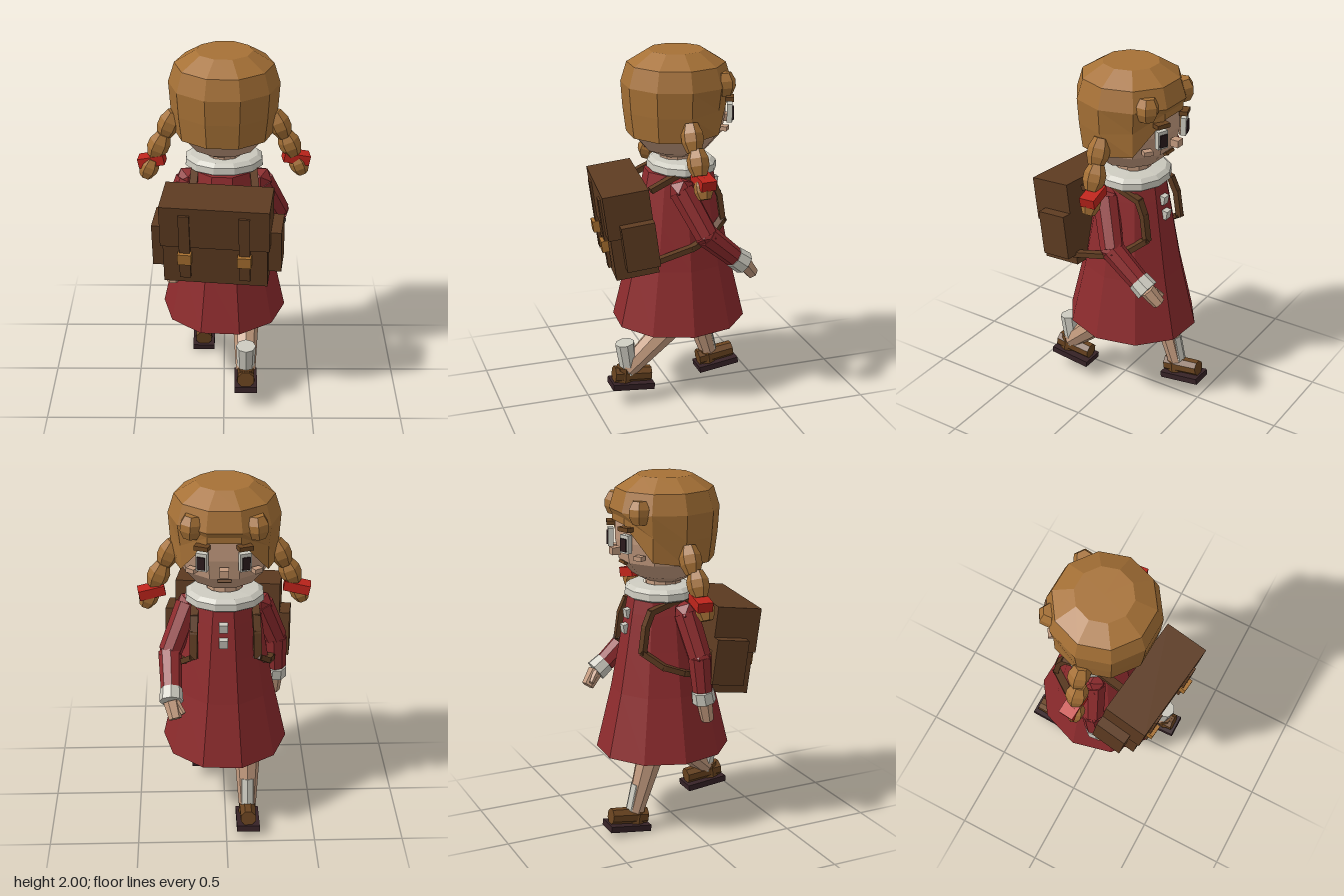
import * as THREE from 'three';

const mat = (name, color) => {
  const m = new THREE.MeshStandardMaterial({ color });
  m.name = name;
  return m;
};
const V = (x, y, z) => new THREE.Vector3(x, y, z);

export function createModel() {
  const hair = mat('hair', 0xa67136), skin = mat('skin', 0xc29a7e), red = mat('coat red', 0x8d2b2d),
    ribbon = mat('ribbon red', 0xbe241b), white = mat('off white', 0xcccabf), leather = mat('bag leather', 0x5d3b21),
    brass = mat('brass', 0xa87030), shoe = mat('shoe brown', 0x6a4420), sole = mat('sole dark', 0x362226),
    dark = mat('eye dark', 0x2a1a1c);
  hair.side = THREE.DoubleSide;
  const root = new THREE.Group();
  root.name = 'girlWithBackpack';

  // faceted mesh helper
  const add = (parent, name, geo, material, pos = [0, 0, 0], rot = [0, 0, 0]) => {
    const g = geo.index ? geo.toNonIndexed() : geo;
    g.computeVertexNormals();
    const m = new THREE.Mesh(g, material);
    m.name = name;
    m.position.set(...pos);
    m.rotation.set(...rot);
    parent.add(m);
    return m;
  };
  const group = (name, pos, rot, parent = root) => {
    const g = new THREE.Group();
    g.name = name;
    g.position.set(...pos);
    g.rotation.set(...rot);
    parent.add(g);
    return g;
  };
  const box = (x, y, z) => new THREE.BoxGeometry(x, y, z);
  const lathe = (pts, n = 10) =>
    new THREE.LatheGeometry(pts.map(p => new THREE.Vector2(...p)), n, Math.PI / n);
  // tapered limb from a to b
  const limb = (name, a, b, ra, rb, material, n = 8) => {
    const d = b.clone().sub(a);
    const m = add(root, name, new THREE.CylinderGeometry(rb, ra, d.length(), n), material);
    m.position.copy(a).addScaledVector(d, 0.5);
    m.quaternion.setFromUnitVectors(V(0, 1, 0), d.normalize());
  };
  // flat bar from a to b
  const bar = (name, a, b, w, t, material) => {
    const m = add(root, name, box(w, t, a.distanceTo(b) + t * 0.6), material);
    m.position.copy(a).lerp(b, 0.5);
    m.lookAt(b);
  };
  // hair bead with a wide middle
  const bead = (r, h) => lathe([[0, -h], [r * 0.65, -h], [r, -h * 0.3], [r, h * 0.3], [r * 0.65, h], [0, h]], 6);

  // coat: closed hem, flared skirt, narrow shoulders
  const coat = lathe([[0, 0.44], [0.362, 0.44], [0.28, 0.8], [0.235, 1.05], [0.2, 1.25], [0.185, 1.33], [0, 1.36]]);
  add(root, 'coat', coat, red, [0, 0, -0.05], [0, -0.06, 0]).scale.set(0.975, 1, 1.05);
  const collar = add(root, 'collar',
    lathe([[0.1, 1.33], [0.205, 1.328], [0.222, 1.338], [0.218, 1.375], [0.19, 1.395], [0.1, 1.403]], 12), white, [0, 0, -0.067]);
  collar.scale.z = 0.87;
  limb('neck', V(0, 1.32, -0.05), V(0, 1.46, -0.04), 0.1, 0.1, skin, 10);
  for (const [y, z] of [[1.24, -0.255], [1.155, -0.272]])
    add(root, 'coatButton', box(0.047, 0.05, 0.035), white, [0.012, y, z], [-0.15, 0, 0]);

  // head
  const head = group('head', [0, 0, -0.035], [0, -0.03, 0]);
  add(head, 'face', lathe([[0, 1.4], [0.085, 1.41], [0.18, 1.455], [0.253, 1.54], [0.272, 1.65], [0.27, 1.78], [0.2, 1.88], [0, 1.9]]), skin);

  // hair cap, its lowest ring raised toward the face
  const cap = lathe([[0.276, 1.54], [0.294, 1.68], [0.304, 1.82], [0.27, 1.93], [0.155, 2], [0, 2]]);
  const p = cap.attributes.position;
  for (let i = 0; i < p.count; i++) {
    const y = p.getY(i), front = Math.max(0, -p.getZ(i) / Math.hypot(p.getX(i), p.getZ(i)) || 0);
    if (y < 1.7 && front > 0.5) {
      const k = 0.288 / Math.hypot(p.getX(i), p.getZ(i));
      const rise = y < 1.55 ? [1.755, 1.565] : [1.79, 1.7];
      p.setXYZ(i, p.getX(i) * k, rise[front > 0.9 ? 0 : 1], p.getZ(i) * k);
    }
  }
  add(head, 'hairCap', cap, hair);

  // face details
  for (const s of [-1, 1]) {
    const eye = group('eye', [s * 0.112 + 0.004, 1.655, -0.272], [0, s * -0.36, 0], head);
    add(eye, 'eyeWhite', box(0.062, 0.1, 0.03), white);
    add(eye, 'iris', box(0.044, 0.07, 0.008), dark, [0, -0.004, -0.019]);
    add(eye, 'eyebrow', box(0.078, 0.024, 0.045), shoe, [0, 0.08, 0]);
    add(head, 'cheek', box(0.05, 0.025, 0.04), skin, [s * 0.172, 1.585, -0.222], [0, s * -0.6, 0]);
    add(head, 'fringeCurl', bead(0.064, 0.062), hair, [s * 0.172, 1.83, -0.218], [0.1, s * -0.6, s * 0.1]);
  }
  add(head, 'nose', box(0.05, 0.04, 0.05), skin, [0, 1.6, -0.292]);
  add(head, 'mouth', box(0.075, 0.016, 0.02), shoe, [0, 1.53, -0.246], [0.5, 0, 0]);

  // braids with ribbons
  for (const s of [-1, 1]) {
    const braid = group(s > 0 ? 'rightBraid' : 'leftBraid', [0, 0, -0.025], [0, 0, 0]);
    const dz = s > 0 ? -0.012 : 0.015;
    [[0.302, 1.58, 0.06, 0.078], [0.36, 1.46, 0.06, 0.072], [0.415, 1.33, 0.052, 0.058]]
      .forEach(([x, y, r, h], i) => add(braid, i < 2 ? 'braidBead' : 'braidTail', bead(r, h), hair, [s * x, y, dz * i], [0, 0, s * 0.4]));
    add(braid, 'ribbon', box(0.145, 0.055, 0.085), ribbon, [s * 0.4, 1.372, s > 0 ? -0.03 : 0.012], [0, s * 0.1, s * -0.2]);
  }

  // arms: shoulder, elbow, wrist, cuff end, fingertips
  const arms = {
    right: [V(0.2, 1.26, 0), V(0.305, 1.02, -0.11), V(0.3, 0.875, -0.275), V(0.3, 0.83, -0.335), V(0.278, 0.755, -0.395)],
    left: [V(-0.2, 1.26, 0), V(-0.29, 1.03, 0.04), V(-0.298, 0.835, 0.055), V(-0.295, 0.77, 0.068), V(-0.29, 0.655, 0.09)],
  };
  for (const [side, [sh, el, wr, cu, ha]] of Object.entries(arms)) {
    add(root, side + 'Shoulder', new THREE.IcosahedronGeometry(0.075, 0), red, sh.toArray());
    limb(side + 'UpperArm', sh, el, 0.072, 0.066, red);
    add(root, side + 'Elbow', new THREE.IcosahedronGeometry(0.068, 0), red, el.toArray());
    limb(side + 'Forearm', el, wr, 0.066, 0.058, red);
    limb(side + 'Cuff', wr, cu, 0.062, 0.066, white);
    limb(side + 'Hand', cu, ha, 0.044, 0.036, skin, 6);
    const inward = V(side === 'right' ? -0.05 : 0.04, 0.01, -0.01);
    limb(side + 'Thumb', cu.clone().addScaledVector(inward, 0.5), cu.clone().lerp(ha, 0.75).add(inward), 0.02, 0.014, skin, 5);
  }

  // legs in mid stride
  limb('leftLeg', V(-0.125, 0.55, -0.15), V(-0.125, 0.11, -0.283), 0.086, 0.05, skin);
  limb('leftSock', V(-0.125, 0.12, -0.291), V(-0.125, 0.27, -0.257), 0.046, 0.046, white);
  limb('rightLeg', V(0.125, 0.54, -0.075), V(0.125, 0.19, 0.3), 0.09, 0.055, skin);
  limb('rightSock', V(0.125, 0.17, 0.287), V(0.125, 0.36, 0.312), 0.048, 0.056, white);

  // shoes
  const makeShoe = (name, pos, tilt) => {
    const g = group(name, pos, [tilt, 0, 0]);
    add(g, 'sole', box(0.13, 0.035, 0.245), sole, [0, 0.018, 0]);
    add(g, 'shoeUpper', new THREE.CylinderGeometry(0.05, 0.046, 0.215, 8, 1, false, Math.PI / 8), shoe, [0, 0.075, 0], [Math.PI / 2, 0, 0]);
    add(g, 'shoeAnkle', new THREE.CylinderGeometry(0.046, 0.05, 0.085, 8), shoe, [0, 0.08, 0.05]);
  };
  makeShoe('leftShoe', [-0.125, 0.015, -0.335], 0.14);
  makeShoe('rightShoe', [0.125, 0.086, 0.278], -0.1);

  // backpack, leaning back and slightly turned
  const bag = group('backpack', [-0.035, 1.05, 0.268], [0, 0, 0]);
  bag.rotation.set(0.13, -0.12, 0, 'YXZ');
  add(bag, 'bagBody', box(0.57, 0.48, 0.24), leather, [0, -0.005, -0.004]);
  add(bag, 'bagLid', box(0.595, 0.25, 0.255), leather, [0, 0.118, 0]);
  for (const s of [-1, 1]) {
    add(bag, 'sidePocket', box(0.07, 0.255, 0.185), leather, [s * 0.32, -0.055, -0.035]);
    add(bag, 'lidStrap', box(0.06, 0.4, 0.02), leather, [s * 0.163, 0, 0.13]);
    add(bag, 'buckle', box(0.075, 0.065, 0.04), brass, [s * 0.163, -0.07, 0.14]);
  }

  // shoulder straps
  for (const s of [-1, 1]) {
    const path = [[0.17, 1.27, 0.16], [0.16, 1.34, 0], [0.168, 1.28, -0.195], [0.172, 1.2, -0.23],
      [0.175, 1.06, -0.25], [0.235, 0.98, -0.15], [0.262, 0.94, -0.04], [0.25, 0.88, 0.17]].map(q => V(s * q[0], q[1], q[2]));
    for (let i = 0; i < path.length - 1; i++) bar('shoulderStrap', path[i], path[i + 1], 0.042, 0.03, leather);
  }
  return root;
}
